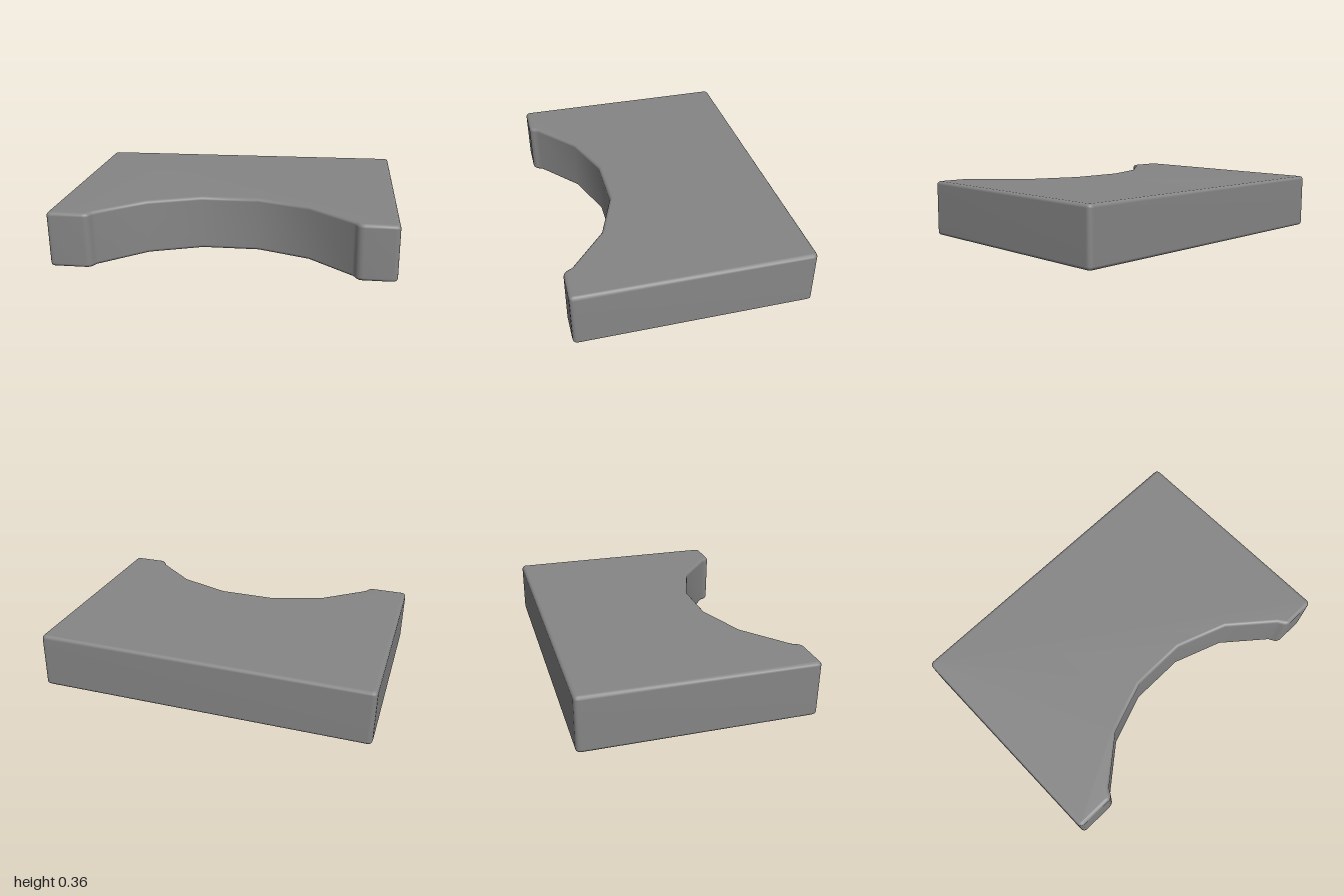
import * as THREE from 'three';
import { mergeVertices } from 'three/addons/utils/BufferGeometryUtils.js';

const HEIGHT = 0.332, BEVEL = 0.02, TILT = 0.0125;

// Outline seen from above: [x, z, corner radius]
const OUTLINE = [
  [-0.998, -0.688, 0.03], [0.998, -0.688, 0.03], [0.998, 0.688, 0.03],
  // arched cut-out between the two feet
  [0.777, 0.688, 0.03], [0.748, 0.633, 0], [0.493, 0.421, 0], [0.185, 0.311, 0],
  [-0.158, 0.311, 0], [-0.468, 0.421, 0], [-0.725, 0.633, 0], [-0.753, 0.688, 0.03],
  [-0.998, 0.688, 0.03],
];

// Closed shape whose corners are eased by a quadratic curve
function roundedShape(corners) {
  const shape = new THREE.Shape();
  const n = corners.length;
  corners.forEach(([x, y, r], i) => {
    const p = new THREE.Vector2(x, y);
    const toward = (q) => new THREE.Vector2(q[0], q[1]).sub(p).setLength(r).add(p);
    const a = r ? toward(corners[(i + n - 1) % n]) : p;
    if (i === 0) shape.moveTo(a.x, a.y);
    else shape.lineTo(a.x, a.y);
    if (r) {
      const b = toward(corners[(i + 1) % n]);
      shape.quadraticCurveTo(x, y, b.x, b.y);
    }
  });
  shape.closePath();
  return shape;
}

export function createModel() {
  const group = new THREE.Group();
  group.name = 'archedBlock';

  // Bevelled slab, laid flat with its thickness along y
  let geometry = new THREE.ExtrudeGeometry(roundedShape(OUTLINE), {
    depth: HEIGHT - 2 * BEVEL,
    bevelEnabled: true,
    bevelThickness: BEVEL,
    bevelSize: BEVEL,
    bevelOffset: -BEVEL,
    bevelSegments: 3,
    curveSegments: 4,
  });
  geometry.translate(0, 0, BEVEL - HEIGHT / 2);
  geometry.rotateX(Math.PI / 2);

  // Weld for smooth, area-weighted normals
  geometry.deleteAttribute('normal');
  geometry.deleteAttribute('uv');
  geometry = mergeVertices(geometry, 1e-4);
  geometry.computeVertexNormals();

  // The slab rises slightly toward its left side
  const slab = new THREE.Mesh(geometry, new THREE.MeshStandardMaterial({ color: 0x868686 }));
  slab.name = 'slab';
  slab.rotation.z = TILT;
  slab.position.y = HEIGHT / 2 + TILT;
  group.add(slab);
  return group;
}
